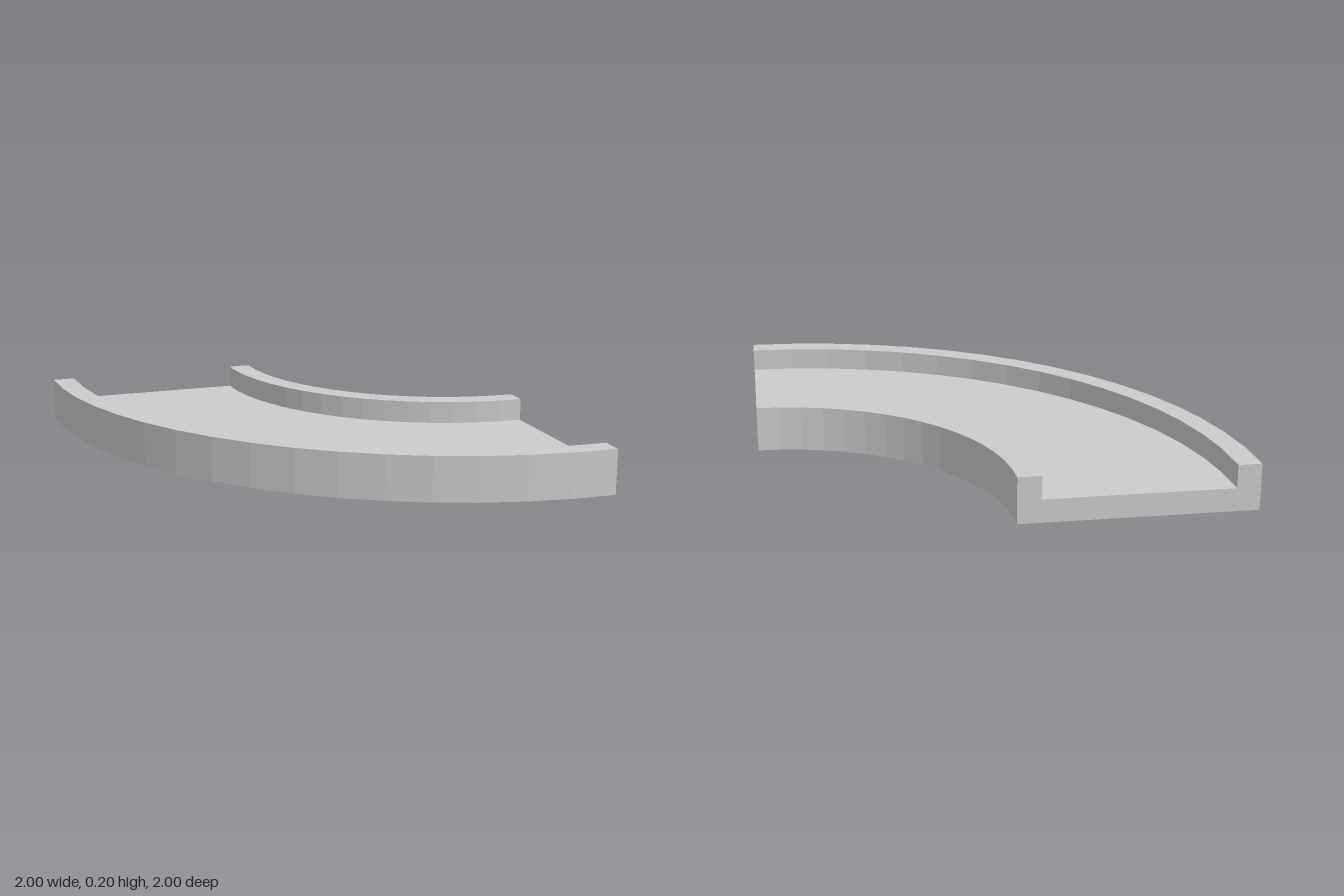
import * as THREE from 'three';

export function createModel() {
  const group = new THREE.Group();
  group.name = 'curvedTrack';

  // Channel cross-section: x is the bend radius, y is height
  const profile = new THREE.Shape([
    [1, 0], [2, 0], [2, 0.2], [1.9, 0.2],
    [1.9, 0.1], [1.1, 0.1], [1.1, 0.2], [1, 0.2],
  ].map(([r, y]) => new THREE.Vector2(r, y)));

  // Extrude through a quarter turn, depth being the angle
  const geometry = new THREE.ExtrudeGeometry(profile, {
    depth: Math.PI / 2, steps: 16, bevelEnabled: false,
  });

  // Bend the straight channel around the corner at x = 1, z = -1
  const pos = geometry.attributes.position;
  for (let i = 0; i < pos.count; i++) {
    const r = pos.getX(i), angle = pos.getZ(i);
    pos.setX(i, 1 - r * Math.sin(angle));
    pos.setZ(i, -1 + r * Math.cos(angle));
  }
  geometry.computeVertexNormals();

  // Floor with raised inner and outer rims
  const track = new THREE.Mesh(
    geometry,
    new THREE.MeshStandardMaterial({ color: 0xcccccc, flatShading: true }),
  );
  track.name = 'curvedChannel';
  group.add(track);
  return group;
}
